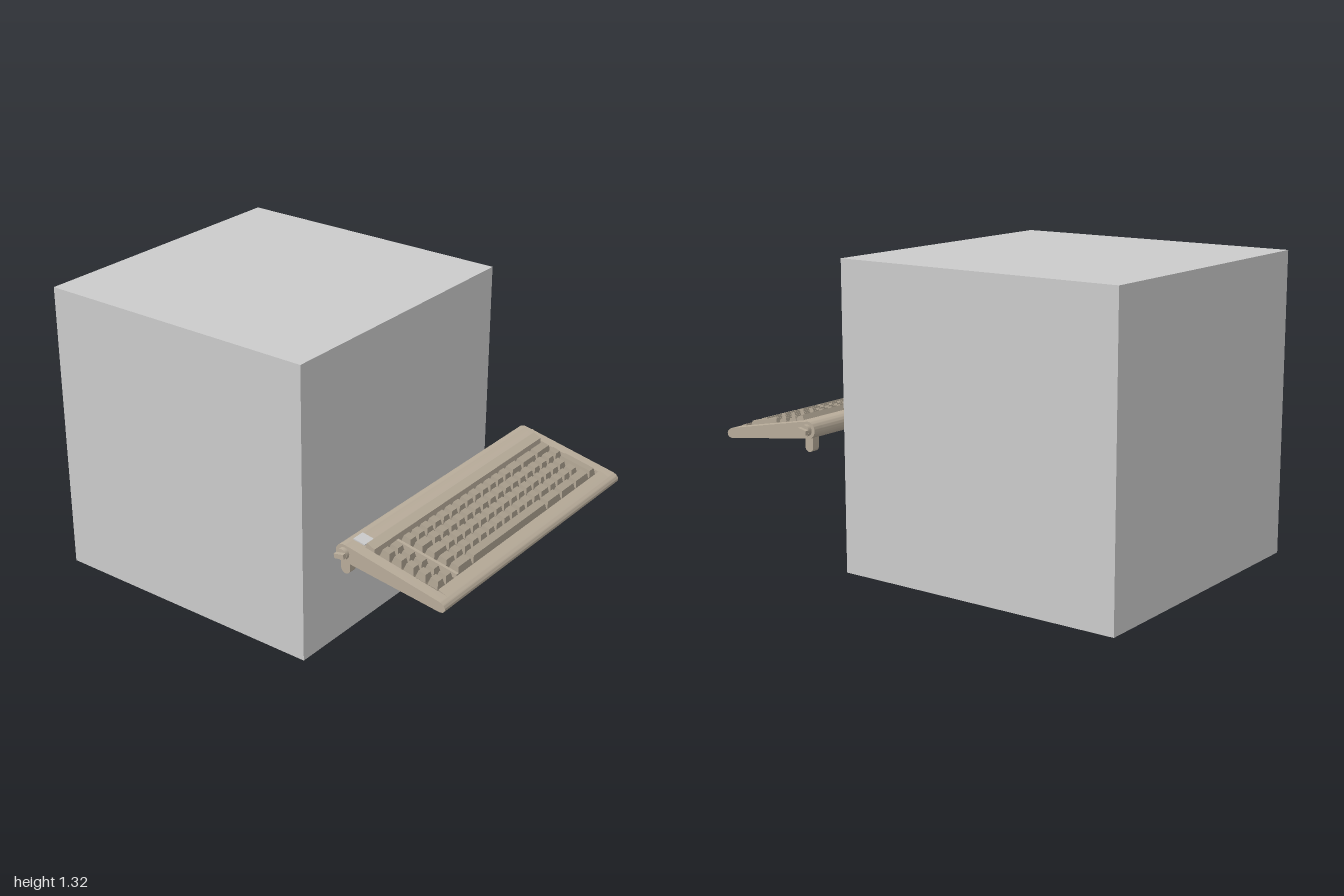
import * as THREE from 'three';
import { toCreasedNormals } from 'three/addons/utils/BufferGeometryUtils.js';

const SLOPE = -0.18;
const topY = (x) => 0.615 + SLOPE * (x - 0.555); // upper surface of the keyboard case

export function createModel() {
  const model = new THREE.Group();
  const grey = new THREE.MeshStandardMaterial({ color: 0xcccccc });
  const caseMat = new THREE.MeshStandardMaterial({ color: 0xb8ac9a });
  const keyMat = new THREE.MeshStandardMaterial({ color: 0xa99e8d });
  const darkMat = new THREE.MeshStandardMaterial({ color: 0x7d7466 });

  const add = (name, geometry, material, x = 0, y = 0, z = 0, parent = model) => {
    const mesh = new THREE.Mesh(geometry, material);
    mesh.name = name;
    mesh.position.set(x, y, z);
    parent.add(mesh);
    return mesh;
  };
  const extrude = (shape, z0, z1) => {
    const g = new THREE.ExtrudeGeometry(shape, { depth: z1 - z0, bevelEnabled: false, curveSegments: 16 });
    return toCreasedNormals(g.translate(0, 0, z0), 0.5);
  };

  // Large plain cube
  add('cube', new THREE.BoxGeometry(1.32, 1.32, 1.32), grey, -0.34, 0.66, 0);

  const keyboard = new THREE.Group();
  keyboard.name = 'keyboard';
  model.add(keyboard);

  // Case side profile: round back roll, sloping top, rounded front lip;
  // the middle stretch has a recessed key well
  const profile = (well) => {
    const s = new THREE.Shape();
    s.moveTo(0.523, 0.547);
    s.lineTo(0.975, 0.487);
    s.quadraticCurveTo(1.0, 0.488, 1.0, 0.507);
    s.quadraticCurveTo(0.998, 0.522, 0.975, 0.531);
    if (well) {
      s.lineTo(0.935, topY(0.935));
      s.lineTo(0.933, topY(0.933) - 0.025);
      s.lineTo(0.637, topY(0.637) - 0.025);
      s.lineTo(0.635, topY(0.635) + 0.012);
      s.lineTo(0.6, 0.63);
      s.lineTo(0.592, topY(0.592));
    }
    s.lineTo(0.555, topY(0.555));
    s.lineTo(0.535, 0.618);
    s.absarc(0.523, 0.583, 0.037, 1.3, Math.PI * 1.5, false);
    return s;
  };
  add('keyboardCaseMiddle', extrude(profile(true), -0.61, 0.61), caseMat, 0, 0, 0, keyboard);
  for (const side of [-1, 1]) {
    const [z0, z1] = side > 0 ? [0.61, 0.66] : [-0.66, -0.61];
    add('keyboardCaseEnd', extrude(profile(false), z0, z1), caseMat, 0, 0, 0, keyboard);
  }

  // Parts placed on the sloping deck: x along the case, lift above the top line
  const onDeck = (name, geometry, material, x, lift, z) => {
    const m = add(name, geometry, material, x, topY(x) + lift, z, keyboard);
    m.rotation.z = Math.atan(SLOPE);
    return m;
  };
  onDeck('wellFloor', new THREE.BoxGeometry(0.292, 0.004, 1.2), darkMat, 0.785, -0.023, 0);
  onDeck('wellDivider', new THREE.BoxGeometry(0.29, 0.024, 0.014), caseMat, 0.785, -0.012, 0.472);
  onDeck('rearGroove', new THREE.BoxGeometry(0.006, 0.003, 1.2), darkMat, 0.617, 0.0135, 0);
  onDeck('badge', new THREE.BoxGeometry(0.056, 0.005, 0.06), grey, 0.557, 0.002, 0.575);

  // Tapered key cap with its top narrowed and shifted back slightly
  const keyCap = (w, d) => {
    const h = 0.032;
    const g = new THREE.BoxGeometry(w, h, d);
    const p = g.attributes.position;
    for (let i = 0; i < p.count; i++) {
      if (p.getY(i) > 0) {
        p.setX(i, p.getX(i) * (1 - 0.016 / w) - 0.003);
        p.setZ(i, p.getZ(i) * (1 - 0.016 / d));
        if (p.getX(i) < 0) p.setY(i, h / 2 + 0.003);
      }
    }
    g.computeVertexNormals();
    return g;
  };
  const UNIT = 0.0573, PITCH = 0.0565, GAP = 0.007, X0 = 0.672, Z0 = 0.456;
  const placeKey = (row, rows, z, width) =>
    onDeck('key', keyCap(PITCH * rows - GAP, width - GAP), keyMat,
      X0 + PITCH * (row + (rows - 1) / 2), -0.007, z);

  // Main block: key widths per row, from the typist's left to right
  const ones = (n) => Array(n).fill(1);
  const rows = [
    [...ones(13), 1.5, 2, 2],
    [1.5, ...ones(12), 1, ...ones(4)],
    [1.75, ...ones(12), 0.75, ...ones(3)],
    [1.25, ...ones(11), 1.25, 1, ...ones(3)],
    [1.85, 9.65, 2, 2, 2],
  ];
  rows.forEach((widths, row) => {
    let u = 0;
    for (const w of widths) {
      placeKey(row, 1, Z0 - (u + w / 2) * UNIT, w * UNIT);
      u += w;
    }
  });
  // Tall key at the far right
  placeKey(2, 3, Z0 - 18 * UNIT, UNIT);
  // Two columns of function keys at the far left
  for (let row = 0; row < 5; row++)
    for (const z of [0.513, 0.568]) placeKey(row, 1, z, 0.055);

  // Knobs and fold-down feet at both ends of the back roll
  const foot = new THREE.Shape();
  foot.moveTo(0.548, 0.575);
  foot.lineTo(0.503, 0.575);
  foot.lineTo(0.505, 0.509);
  foot.absarc(0.527, 0.509, 0.022, Math.PI, Math.PI * 2, false);
  for (const side of [-1, 1]) {
    const hub = add('knobHub', new THREE.CylinderGeometry(0.025, 0.025, 0.02, 20), caseMat, 0.527, 0.583, side * 0.668, keyboard);
    hub.rotation.x = Math.PI / 2;
    const grip = add('knobGrip', new THREE.BoxGeometry(0.046, 0.02, 0.02), caseMat, 0.527, 0.583, side * 0.685, keyboard);
    grip.rotation.z = 0.2;
    const z = side > 0 ? 0.615 : -0.65;
    add('foot', extrude(foot, z, z + 0.035), caseMat, 0, 0, 0, keyboard);
  }
  return model;
}
